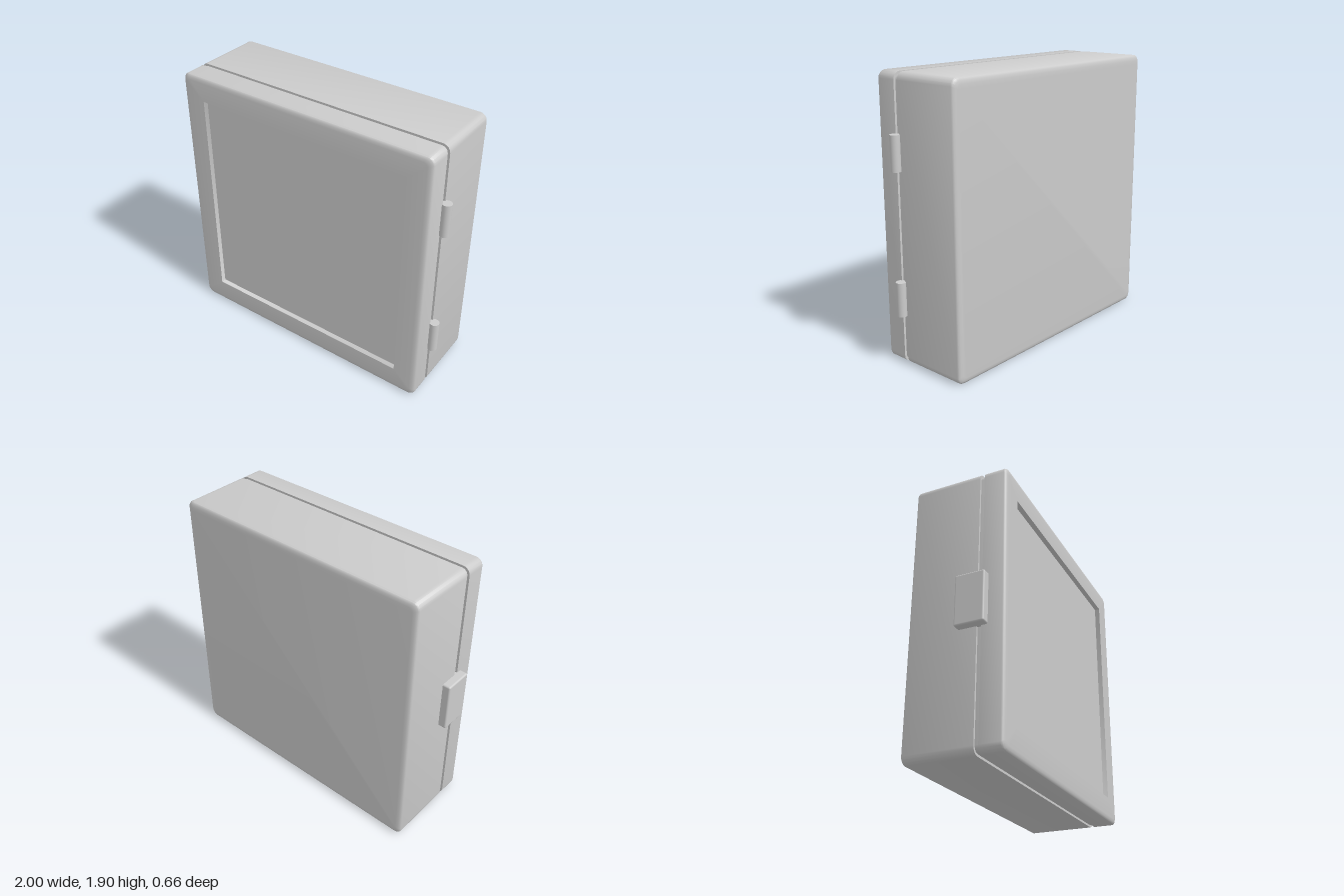
import * as THREE from 'three';
import { toCreasedNormals } from 'three/addons/utils/BufferGeometryUtils.js';
import { RoundedBoxGeometry } from 'three/addons/geometries/RoundedBoxGeometry.js';

const CENTER_Y = 0.95;
const HALF = 0.945;      // half width and height of the case
const CORNER = 0.05;     // corner radius seen from the front
const BEVEL = 0.04;      // how far the edge rounding reaches across the face
const BEVEL_Z = 0.02;    // how deep the edge rounding goes
const CORNER_STEPS = 4;

const material = new THREE.MeshStandardMaterial({ color: 0xcccccc });

// Counter-clockwise rounded rectangle at height z
function roundedLoop(halfW, halfH, radius, z) {
  const points = [];
  for (let c = 0; c < 4; c++) {
    const sx = c === 0 || c === 3 ? 1 : -1;
    const sy = c < 2 ? 1 : -1;
    for (let i = 0; i <= CORNER_STEPS; i++) {
      const a = (c + i / CORNER_STEPS) * Math.PI / 2;
      points.push([
        sx * (halfW - radius) + radius * Math.cos(a),
        CENTER_Y + sy * (halfH - radius) + radius * Math.sin(a),
        z,
      ]);
    }
  }
  return points;
}

// Skin a list of loops and close both ends
function skin(loops) {
  const n = loops[0].length;
  const last = (loops.length - 1) * n;
  const index = [];
  for (let k = 0; k < loops.length - 1; k++) {
    for (let i = 0; i < n; i++) {
      const a = k * n + i, b = k * n + (i + 1) % n;
      index.push(a, b, b + n, a, b + n, a + n);
    }
  }
  for (let i = 1; i < n - 1; i++) {
    index.push(0, i + 1, i);
    index.push(last, last + i, last + i + 1);
  }
  const geometry = new THREE.BufferGeometry();
  geometry.setAttribute('position', new THREE.Float32BufferAttribute(loops.flat(2), 3));
  geometry.setIndex(index);
  return toCreasedNormals(geometry, Math.PI / 5);
}

// Loops of a rounded outer edge, from the side wall (t = 0) to the face (t = 1)
function edgeLoops(zFace, direction) {
  return [0, 1 / 3, 2 / 3, 1].map((t) => {
    const a = t * Math.PI / 2;
    const inset = BEVEL * (1 - Math.cos(a));
    const z = zFace - direction * BEVEL_Z * (1 - Math.sin(a));
    return roundedLoop(HALF - inset, 0.95 - inset, CORNER - inset * 0.6, z);
  });
}

export function createModel() {
  const group = new THREE.Group();
  const add = (name, geometry, x = 0, y = 0, z = 0) => {
    const mesh = new THREE.Mesh(geometry, material);
    mesh.name = name;
    mesh.position.set(x, y, z);
    group.add(mesh);
  };

  // Deep rear box with a rounded back edge
  add('body', skin([
    ...edgeLoops(-0.33, -1).reverse(),
    roundedLoop(HALF, 0.95, CORNER, 0.145),
  ]));

  // Seal set back in the gap between body and door
  add('seal', skin([
    roundedLoop(0.93, 0.935, 0.04, 0.135),
    roundedLoop(0.93, 0.935, 0.04, 0.185),
  ]));

  // Door with a rounded front edge and a shallow recessed panel
  add('door', skin([
    roundedLoop(HALF, 0.95, CORNER, 0.175),
    ...edgeLoops(0.33, 1),
    roundedLoop(0.78, 0.778, 0.002, 0.33),
    roundedLoop(0.78, 0.778, 0.002, 0.295),
  ]));

  // Latch bridging the gap on one side
  add('latch', new RoundedBoxGeometry(0.08, 0.345, 0.2, 2, 0.012), -0.96, 0.955, 0.117);

  // Hinge barrels on the other side
  for (const [name, y] of [['lowerHinge', 0.46], ['upperHinge', 1.41]]) {
    add(name, new THREE.CylinderGeometry(0.033, 0.033, 0.23, 24), 0.967, y, 0.16);
  }
  return group;
}
